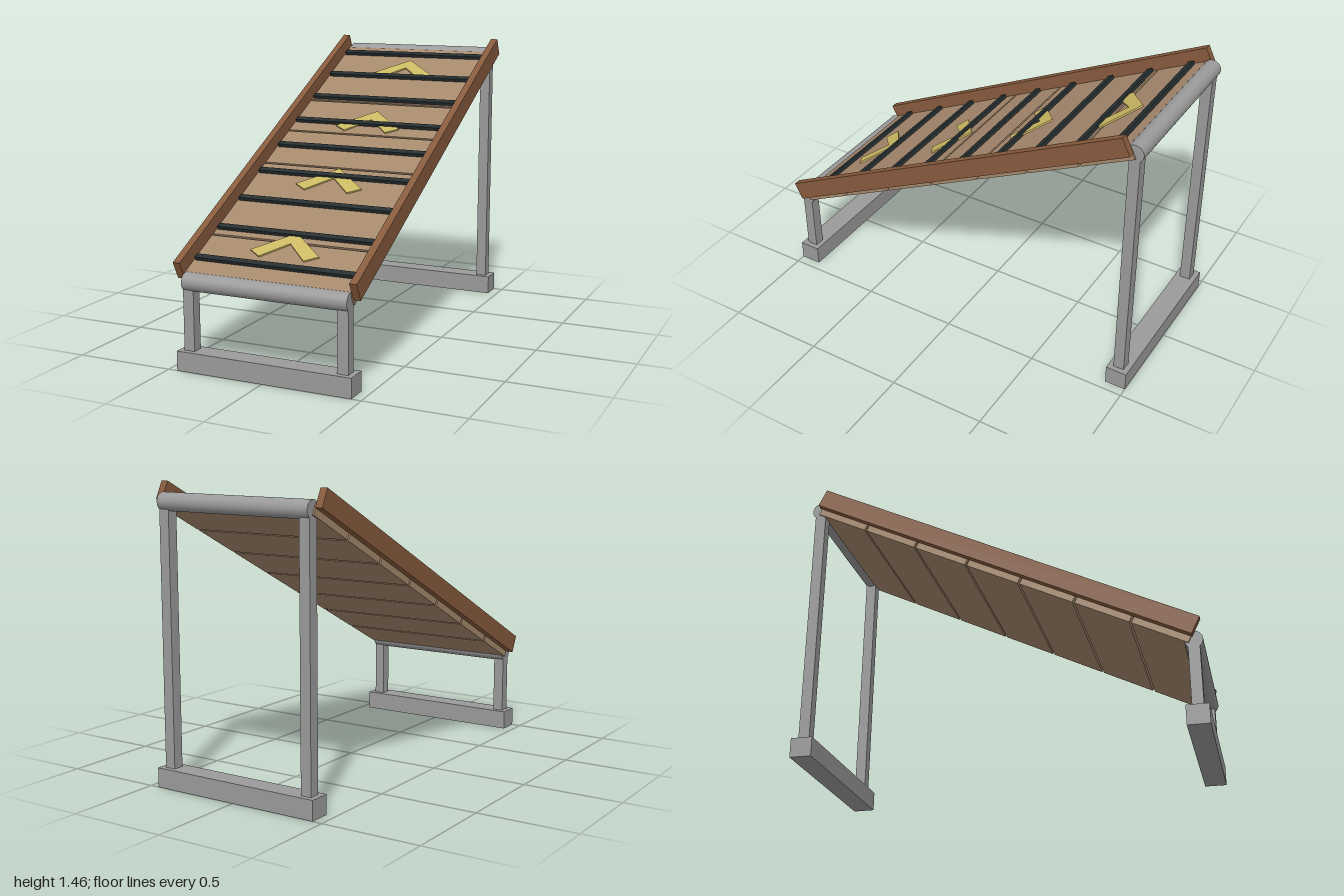
import * as THREE from 'three';

const mat = (name, color) => {
  const m = new THREE.MeshStandardMaterial({ color });
  m.name = name;
  return m;
};

export function createModel() {
  const model = new THREE.Group();
  model.name = 'ramp';
  const plankWood = mat('plankWood', 0xa5886c);
  const railWood = mat('railWood', 0x875a3d);
  const metal = mat('greyMetal', 0x9a9a9a);
  const rubber = mat('darkRubber', 0x262e30);
  const paint = mat('yellowPaint', 0xcab862);

  const add = (parent, name, geometry, material, x, y, z) => {
    const mesh = new THREE.Mesh(geometry, material);
    mesh.name = name;
    mesh.position.set(x, y, z);
    parent.add(mesh);
    return mesh;
  };
  const box = (parent, name, material, w, h, d, x, y, z) =>
    add(parent, name, new THREE.BoxGeometry(w, h, d), material, x, y, z);

  // Sloping deck: local y is its normal, local -z runs uphill
  const deck = new THREE.Group();
  deck.name = 'deck';
  deck.position.set(0, 0.95, 0.02);
  deck.rotation.x = Math.atan(0.5);
  model.add(deck);
  const length = 2.108, top = -0.02;

  // Seven planks with narrow gaps
  const pitch = length / 7;
  for (let i = 0; i < 7; i++) {
    box(deck, 'plank', plankWood, 0.868, 0.06, pitch - 0.012, 0, top - 0.03, (i - 3) * pitch);
  }

  // Side rails
  for (const side of [-1, 1]) {
    box(deck, side > 0 ? 'leftRail' : 'rightRail', railWood, 0.037, 0.094, length, side * 0.4525, 0, 0);
  }

  // Nine grip slats
  for (let i = -4; i <= 4; i++) {
    box(deck, 'gripSlat', rubber, 0.85, 0.018, 0.029, 0, top + 0.009, i * 0.236 - 0.01);
  }

  // Four arrows pointing uphill
  const arrow = new THREE.Shape([
    [0, 0], [-0.18, -0.15], [-0.117, -0.19], [0, -0.08], [0.117, -0.19], [0.18, -0.15],
  ].map(([x, y]) => new THREE.Vector2(x, y)));
  const arrowGeometry = new THREE.ExtrudeGeometry(arrow, { depth: 0.008, bevelEnabled: false });
  arrowGeometry.rotateX(-Math.PI / 2);
  for (let i = 0; i < 4; i++) {
    add(deck, 'arrow', arrowGeometry, paint, 0, top, -0.893 + i * 0.527);
  }

  // End stands: base beam, two legs and a round crossbar
  const stand = (name, z, height) => {
    const group = new THREE.Group();
    group.name = name;
    group.position.z = z;
    model.add(group);
    box(group, 'base', metal, 0.904, 0.097, 0.108, 0, 0.0485, 0);
    for (const side of [-1, 1]) {
      box(group, 'leg', metal, 0.055, height - 0.09, 0.055, side * 0.3975, (height + 0.09) / 2, 0);
    }
    const bar = new THREE.CylinderGeometry(0.044, 0.044, 0.85, 32);
    bar.rotateZ(Math.PI / 2);
    add(group, 'crossbar', bar, metal, 0, height, 0);
  };
  stand('frontStand', 0.946, 0.427);
  stand('backStand', -0.946, 1.371);

  return model;
}
